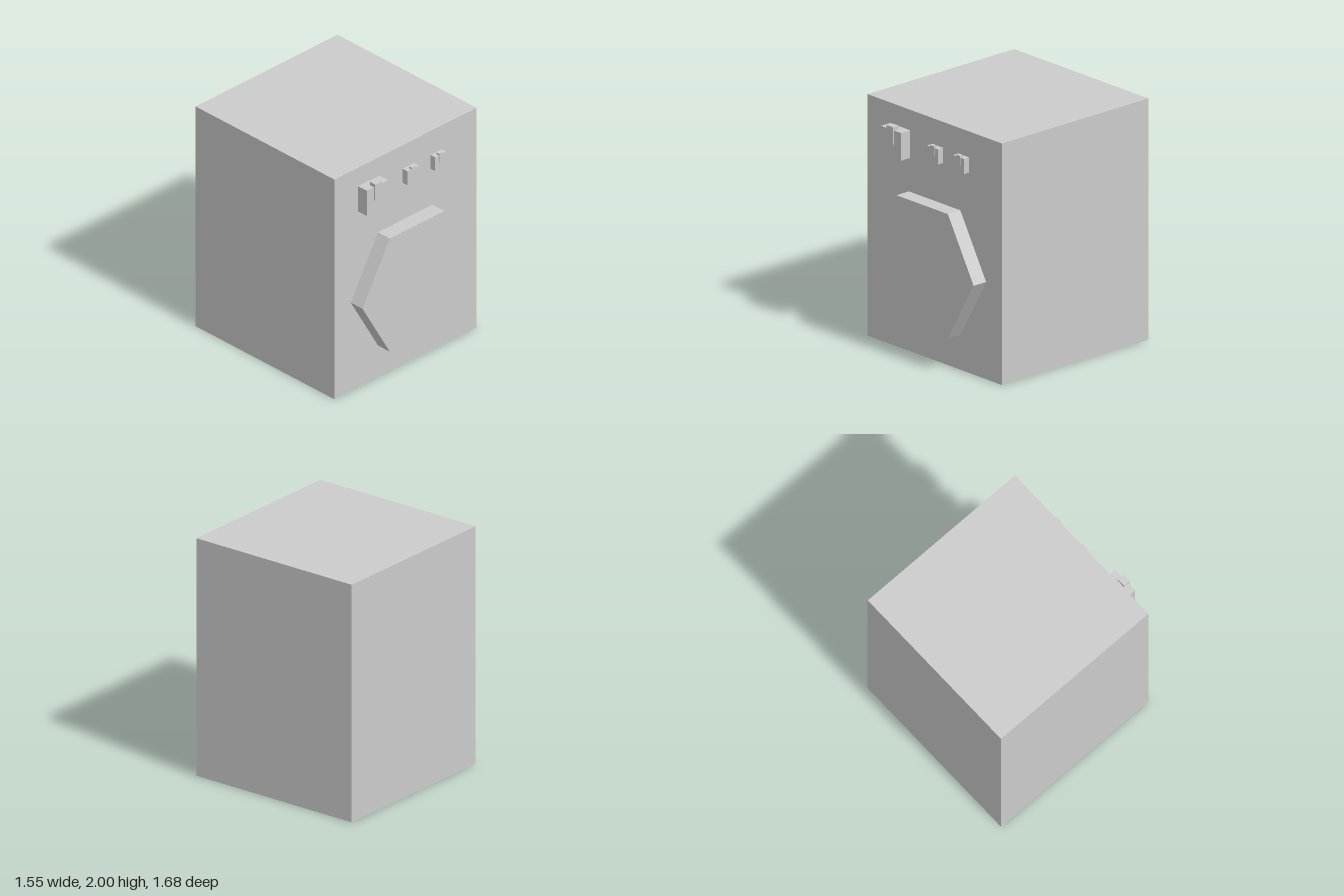
import * as THREE from 'three';

const material = new THREE.MeshStandardMaterial({ color: 0xcccccc, flatShading: true });

// Box given by its lower and upper limits on each axis
function box(name, [x0, x1], [y0, y1], [z0, z1]) {
  const mesh = new THREE.Mesh(new THREE.BoxGeometry(x1 - x0, y1 - y0, z1 - z0), material);
  mesh.position.set((x0 + x1) / 2, (y0 + y1) / 2, (z0 + z1) / 2);
  mesh.name = name;
  return mesh;
}

const FRONT = 0.708; // front face of the cabinet

// Square knob with a raised pointer overhanging its top edge
function knob(name, x, y, size, front, pointer) {
  const group = new THREE.Group();
  group.name = name;
  const h = size / 2, w = pointer.width / 2;
  group.add(
    box('knobBody', [x - h, x + h], [y - h, y + h], [FRONT - 0.01, front]),
    box('knobPointer', [x - w, x + w], pointer.y, pointer.z),
  );
  return group;
}

export function createModel() {
  const model = new THREE.Group();
  model.name = 'washingMachine';

  // Cabinet
  model.add(box('cabinet', [-0.775, 0.775], [0, 2], [-0.84, FRONT]));

  // Hexagonal door, corners pointing left and right
  const doorGeometry = new THREE.CylinderGeometry(0.595, 0.595, 0.142, 6);
  doorGeometry.rotateY(Math.PI / 2).rotateX(Math.PI / 2);
  doorGeometry.rotateZ(Math.PI / 2 - Math.PI / 2);
  // Turn until a corner lies on the x axis
  const p = doorGeometry.attributes.position;
  doorGeometry.rotateZ(-Math.atan2(p.getY(0), p.getX(0)));
  const door = new THREE.Mesh(doorGeometry, material);
  door.name = 'door';
  door.position.set(-0.002, 0.805, 0.769);
  model.add(door);

  // Programme dial and two small knobs
  model.add(knob('programDial', -0.4, 1.715, 0.23, 0.805,
    { width: 0.075, y: [1.715, 1.86], z: [0.758, 0.818] }));
  [0.032, 0.334].forEach((x, i) => {
    model.add(knob(`smallKnob${i + 1}`, x, 1.722, 0.126, 0.762,
      { width: 0.042, y: [1.72, 1.801], z: [0.735, 0.767] }));
  });

  return model;
}
